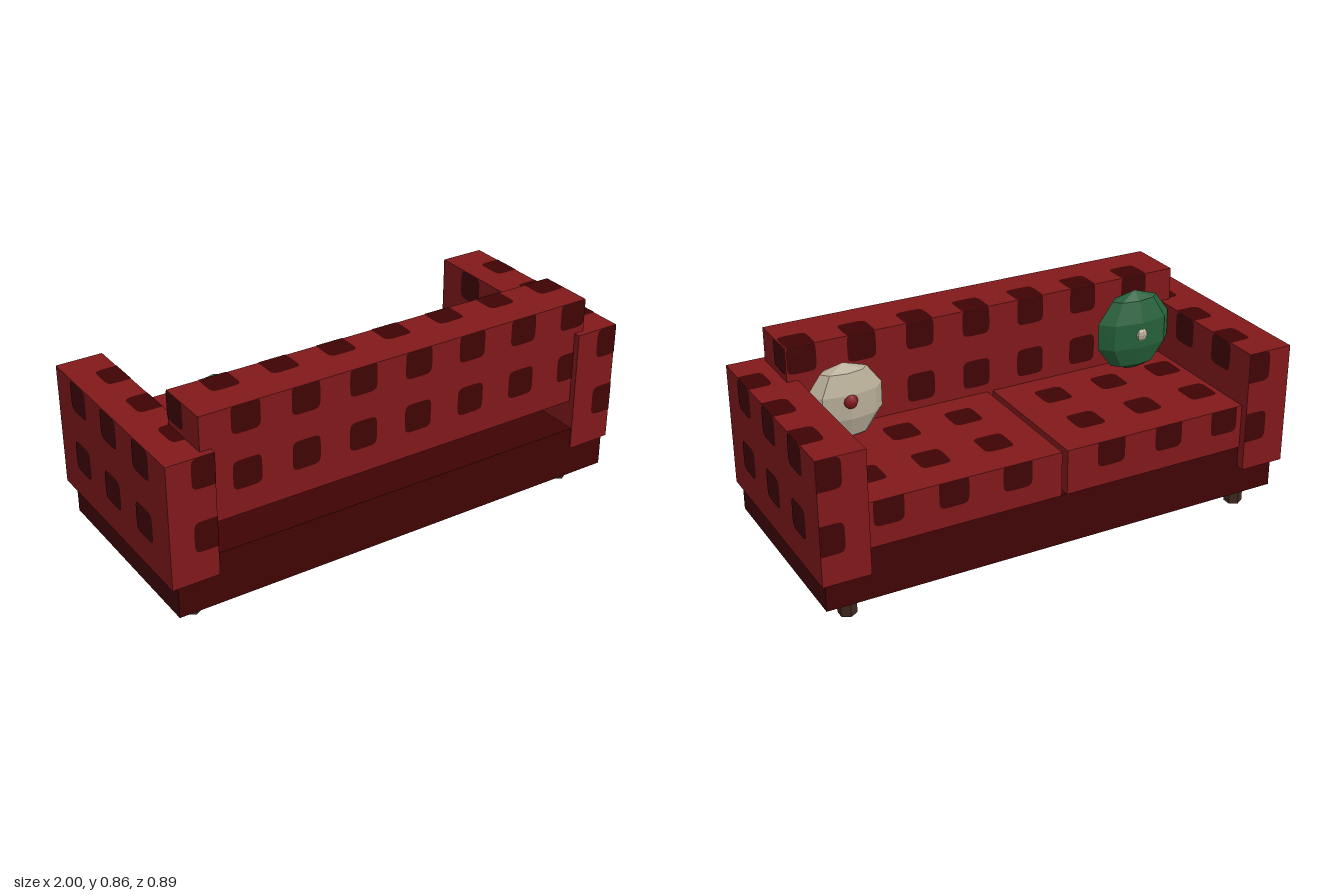
import * as THREE from 'three';
import { mergeGeometries } from 'three/addons/utils/BufferGeometryUtils.js';

const mat = (name, color, flat = false) =>
  Object.assign(new THREE.MeshStandardMaterial({ color, flatShading: flat }), { name });

// Turns a disc facing +z towards each box side
const TURN = {
  '+x': g => g.rotateY(Math.PI / 2), '-x': g => g.rotateY(-Math.PI / 2),
  '+y': g => g.rotateX(-Math.PI / 2),
  '+z': g => g, '-z': g => g.rotateY(Math.PI),
};
const LIFT = 0.002;

// Rounded square patch on one side of a box, trimmed at the box edges
function spot(box, side, centre, size) {
  const g = new THREE.CircleGeometry(1, 32);
  const p = g.attributes.position;
  const bend = t => Math.sign(t) * Math.pow(Math.abs(t), 0.36) * size / 2;
  for (let i = 1; i < p.count; i++) p.setXY(i, bend(p.getX(i)), bend(p.getY(i)));
  TURN[side](g);
  const axis = side[1];
  const c = new THREE.Vector3(...centre);
  c[axis] = side[0] === '+' ? box.max[axis] + LIFT : box.min[axis] - LIFT;
  g.translate(c.x, c.y, c.z);
  const v = new THREE.Vector3();
  for (let i = 0; i < p.count; i++) {
    v.fromBufferAttribute(p, i).clamp(box.min, box.max);
    v[axis] = c[axis];
    p.setXYZ(i, v.x, v.y, v.z);
  }
  return g;
}

// Plain box from its two corners
function block(name, min, max, material) {
  const box = new THREE.Box3(new THREE.Vector3(...min), new THREE.Vector3(...max));
  const s = box.getSize(new THREE.Vector3()), c = box.getCenter(new THREE.Vector3());
  const mesh = new THREE.Mesh(new THREE.BoxGeometry(s.x, s.y, s.z), material);
  mesh.position.copy(c);
  mesh.name = name;
  return { mesh, box };
}

// Box with a grid of spots on the listed sides
function spottedBlock(name, min, max, sides, grid, size, mats) {
  const group = new THREE.Group();
  group.name = name;
  const { mesh, box } = block(name + 'Body', min, max, mats.red);
  const list = [];
  for (const side of sides) {
    const xs = side[1] === 'x' ? [0] : grid.x;
    const ys = side[1] === 'y' ? [0] : grid.y;
    const zs = side[1] === 'z' ? [0] : grid.z;
    for (const x of xs) for (const y of ys) for (const z of zs)
      list.push(spot(box, side, [x, y, z], size));
  }
  const spots = new THREE.Mesh(mergeGeometries(list), mats.dark);
  spots.name = name + 'Spots';
  group.add(mesh, spots);
  return group;
}

// Faceted cushion with a button facing the seat
function pillow(name, x, y, radii, material, buttonMaterial, buttonY) {
  const group = new THREE.Group();
  group.name = name;
  const body = new THREE.Mesh(new THREE.SphereGeometry(1, 8, 5), material);
  body.scale.set(...radii);
  body.name = name + 'Body';
  const button = new THREE.Mesh(new THREE.SphereGeometry(0.03, 8, 6), buttonMaterial);
  button.scale.z = 0.7;
  button.position.set(0, buttonY, -0.06);
  button.name = name + 'Button';
  group.add(body, button);
  group.position.set(x, y, 0.12);
  return group;
}

export function createModel() {
  const model = new THREE.Group();
  model.name = 'sofa';
  const mats = {
    red: mat('red upholstery', 0x80181a),
    dark: mat('dark red', 0x400304),
    wood: mat('dark wood', 0x40291e, true),
    green: mat('green fabric', 0x25603a, true),
    cream: mat('cream fabric', 0xb5ab96, true),
  };

  // Base
  model.add(block('base', [-0.977, 0.085, -0.405], [0.977, 0.3, 0.438], mats.dark).mesh);

  // Six-sided legs
  for (const x of [-0.865, 0.865]) for (const z of [-0.322, 0.312]) {
    const leg = new THREE.Mesh(new THREE.CylinderGeometry(0.037, 0.037, 0.09, 6), mats.wood);
    leg.position.set(x, 0.045, z);
    leg.name = 'leg';
    model.add(leg);
  }

  // Arms, both with the same spot layout
  for (const [name, x] of [['rightArm', -1], ['leftArm', 0.81]]) {
    model.add(spottedBlock(name, [x, 0.212, -0.442], [x + 0.19, 0.717, 0.442],
      ['+x', '-x', '+y', '+z', '-z'],
      { x: [x + 0.158], y: [0.655, 0.398], z: [-0.252, 0, 0.252] }, 0.125, mats));
  }

  // Thick seat cushions
  const seatSides = ['+y', '+z', '-z'];
  model.add(spottedBlock('rightSeat', [-0.81, 0.3, -0.41], [-0.013, 0.485, 0.185], seatSides,
    { x: [-0.725, -0.465, -0.205], y: [0.442], z: [-0.22, 0.03] }, 0.122, mats));
  model.add(spottedBlock('leftSeat', [0.011, 0.3, -0.41], [0.81, 0.485, 0.185], seatSides,
    { x: [0.2, 0.463, 0.722], y: [0.442], z: [-0.22, 0.03] }, 0.122, mats));

  // Backrest
  const min = [-0.853, 0.415, 0.185], max = [0.853, 0.854, 0.415];
  const columns = Array.from({ length: 7 }, (_, i) => -0.67 + i * 0.2435);
  model.add(spottedBlock('backrest', min, max, ['+z', '-z', '+y'],
    { x: columns, y: [0.803, 0.578], z: [0.232] }, 0.118, mats));
  const back = new THREE.Box3(new THREE.Vector3(...min), new THREE.Vector3(...max));
  const ends = new THREE.Mesh(mergeGeometries(
    ['+x', '-x'].map(s => spot(back, s, [0, 0.803, 0.242], 0.118))), mats.dark);
  ends.name = 'backrestEndSpots';
  model.add(ends);

  // Throw pillows
  model.add(pillow('greenPillow', -0.634, 0.648, [0.177, 0.175, 0.075], mats.green, mats.cream, 0.002));
  model.add(pillow('creamPillow', 0.653, 0.622, [0.161, 0.16, 0.07], mats.cream, mats.red, 0.024));
  return model;
}
